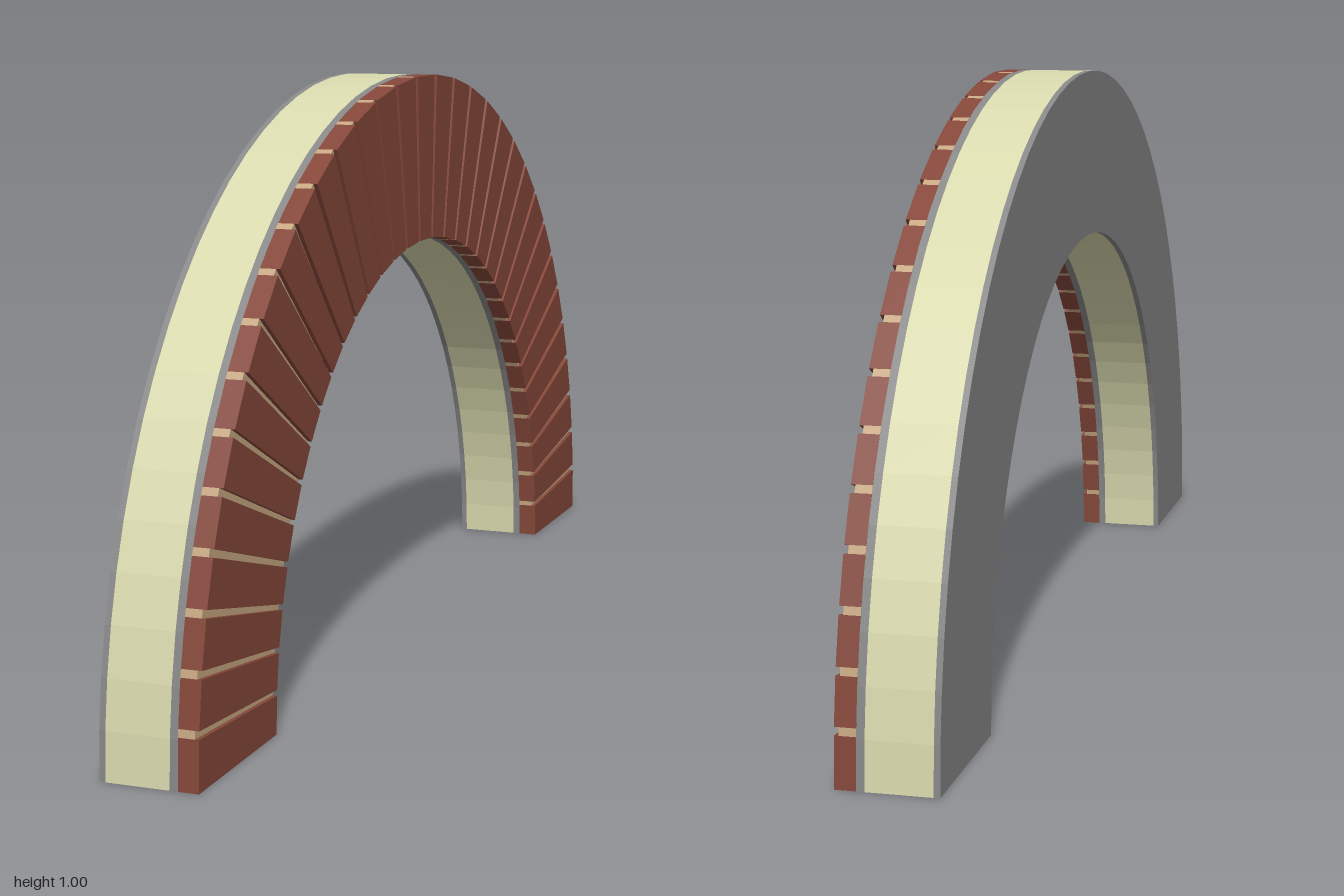
import * as THREE from 'three';

const OUTER = 1, INNER = 0.707, BRICKS = 33, JOINT = 0.0065;

const material = (name, color) => {
  const m = new THREE.MeshStandardMaterial({ color });
  m.name = name;
  return m;
};

// Brick joints fan out evenly on the inner edge and flatten slightly on the outer edge
const innerAngle = (k) => (Math.PI * k) / BRICKS;
const outerAngle = (k) => Math.atan2(0.925 * Math.sin(innerAngle(k)), Math.cos(innerAngle(k)));
const polar = (r, a) => new THREE.Vector2(r * Math.cos(a), r * Math.sin(a));

// Extrudes an outline in the arch plane between two x positions
function slab(name, points, x0, x1, mat) {
  const geometry = new THREE.ExtrudeGeometry(new THREE.Shape(points), {
    depth: x1 - x0, bevelEnabled: false,
  });
  geometry.rotateY(Math.PI / 2).translate(x0, 0, 0);
  const mesh = new THREE.Mesh(geometry, mat);
  mesh.name = name;
  return mesh;
}

// Half-ring outline
function archPoints(segments) {
  const outer = [], inner = [];
  for (let i = 0; i <= segments; i++) {
    const a = (Math.PI * i) / segments;
    outer.push(polar(OUTER, a));
    inner.unshift(polar(INNER, a));
  }
  return [...outer, ...inner];
}

// Wedge outline between two inner and two outer angles
const wedge = (i0, i1, o0, o1) => [
  polar(INNER, i0), polar(OUTER, o0), polar(OUTER, o1), polar(INNER, i1),
];

export function createModel() {
  const group = new THREE.Group();
  group.name = 'brickArch';
  const brick = material('brick red', 0x85473a);
  const mortar = material('mortar tan', 0xc8a882);
  const core = material('core cream', 0xd9d9ae);
  const sheet = material('sheet grey', 0x888888);

  // Layered backing: grey sheet, cream core, grey sheet
  const outline = archPoints(40);
  group.add(slab('backSheet', outline, -0.081, -0.071, sheet));
  group.add(slab('core', outline, -0.071, 0.034, core));
  group.add(slab('frontSheet', outline, 0.034, 0.047, sheet));

  // Brick facing
  const bricks = new THREE.Group();
  bricks.name = 'bricks';
  for (let k = 0; k < BRICKS; k++) {
    const g0 = k === 0 ? 0 : JOINT;
    const g1 = k === BRICKS - 1 ? 0 : JOINT;
    bricks.add(slab('brick', wedge(
      innerAngle(k) + g0, innerAngle(k + 1) - g1,
      outerAngle(k) + g0, outerAngle(k + 1) - g1), 0.047, 0.081, brick));
  }
  group.add(bricks);

  // Recessed mortar joints
  const joints = new THREE.Group();
  joints.name = 'mortarJoints';
  for (let k = 1; k < BRICKS; k++) {
    const i = innerAngle(k), o = outerAngle(k);
    joints.add(slab('mortarJoint', wedge(i - JOINT, i + JOINT, o - JOINT, o + JOINT),
      0.047, 0.074, mortar));
  }
  group.add(joints);
  return group;
}
